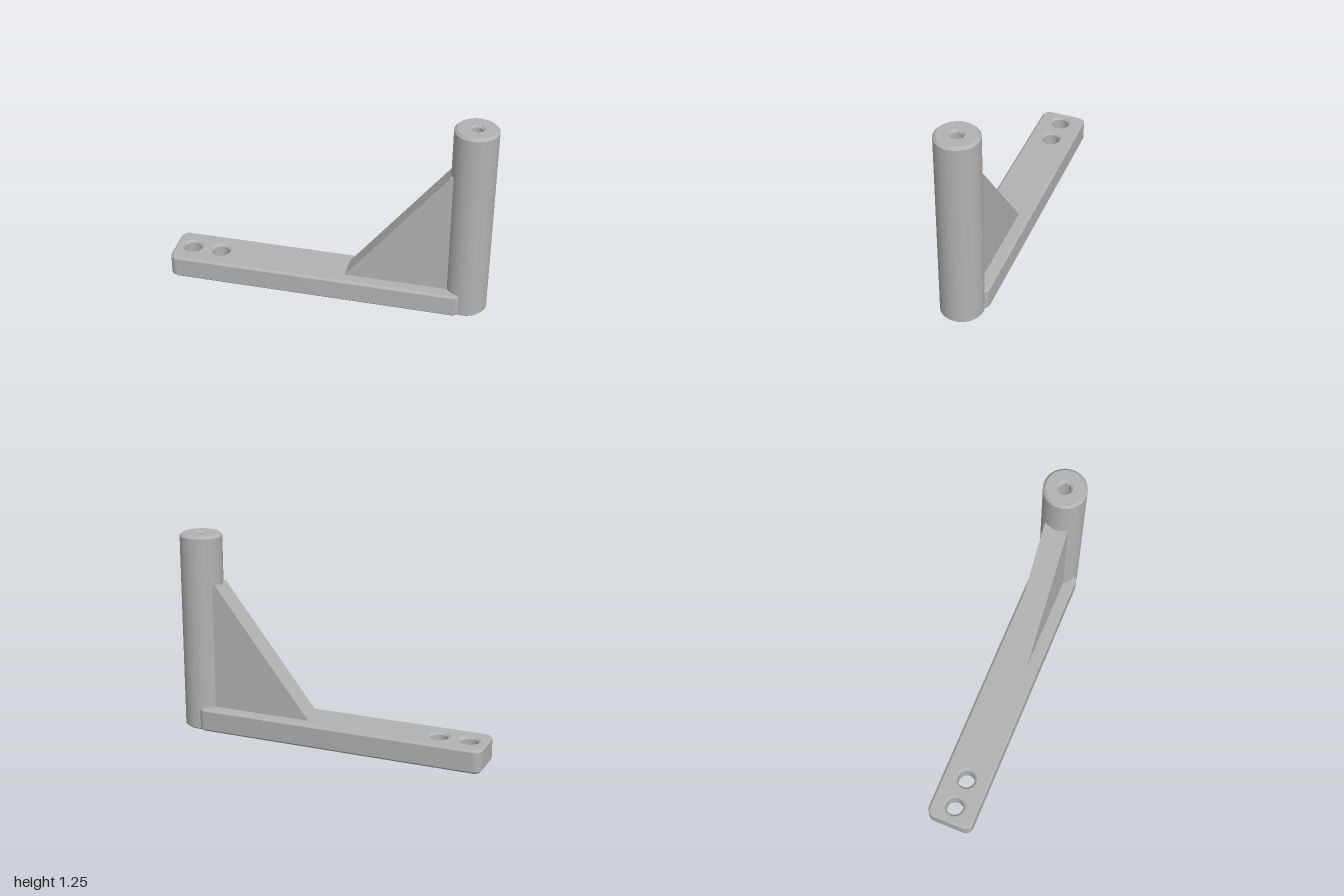
import * as THREE from 'three';
import { toCreasedNormals } from 'three/addons/utils/BufferGeometryUtils.js';

const metal = new THREE.MeshStandardMaterial({ color: 0xb2b2b2 });
metal.name = 'grey metal';

const POST_X = 0.866, POST_R = 0.131, POST_H = 1.25;
const BAR_H = 0.148, CHAMFER = 0.013;

function addPart(group, name, geometry) {
  const mesh = new THREE.Mesh(toCreasedNormals(geometry, 0.6), metal);
  mesh.name = name;
  group.add(mesh);
}

// Rounded rectangle outline
function roundedRect(x0, x1, h, r) {
  const s = new THREE.Shape();
  s.absarc(x1 - r, -h + r, r, -Math.PI / 2, 0);
  s.absarc(x1 - r, h - r, r, 0, Math.PI / 2);
  s.absarc(x0 + r, h - r, r, Math.PI / 2, Math.PI);
  s.absarc(x0 + r, -h + r, r, Math.PI, Math.PI * 1.5);
  s.closePath();
  return s;
}

export function createModel() {
  const group = new THREE.Group();
  group.name = 'bracket';

  // Base bar with two chamfered through holes
  const outline = roundedRect(-1, 0.85, 0.148, 0.05);
  for (const x of [-0.889, -0.702]) {
    const hole = new THREE.Path();
    hole.absarc(x, 0, 0.054, 0, Math.PI * 2, true);
    outline.holes.push(hole);
  }
  const bar = new THREE.ExtrudeGeometry(outline, {
    depth: BAR_H - 2 * CHAMFER, curveSegments: 16, bevelSegments: 1,
    bevelSize: CHAMFER, bevelThickness: CHAMFER, bevelOffset: 0,
  });
  // Pull the bevelled outline back so its widest section matches the bar
  bar.dispose();
  const barGeometry = new THREE.ExtrudeGeometry(outline, {
    depth: BAR_H - 2 * CHAMFER, curveSegments: 16, bevelSegments: 1,
    bevelSize: CHAMFER, bevelThickness: CHAMFER, bevelOffset: -CHAMFER,
  });
  barGeometry.translate(0, 0, CHAMFER).rotateX(-Math.PI / 2);
  addPart(group, 'baseBar', barGeometry);

  // Round post with chamfered ends and a countersunk blind bore
  const profile = [
    [0, 0], [POST_R - 0.01, 0], [POST_R, 0.01],
    [POST_R, POST_H - 0.015], [POST_R - 0.015, POST_H],
    [0.046, POST_H], [0.033, POST_H - 0.013], [0.033, POST_H - 0.25], [0, POST_H - 0.25],
  ].map(([x, y]) => new THREE.Vector2(x, y));
  const post = new THREE.LatheGeometry(profile, 64);
  post.translate(POST_X, 0, 0);
  addPart(group, 'post', post);

  // Triangular gusset running into the bar and post
  const side = new THREE.Shape([
    [0.12, BAR_H], [0.12, 0.1], [0.8, 0.1], [0.8, 0.94], [0.74, 0.94],
  ].map(([x, y]) => new THREE.Vector2(x, y)));
  const gusset = new THREE.ExtrudeGeometry(side, { depth: 0.148, bevelEnabled: false });
  gusset.translate(0, 0, -0.074);
  addPart(group, 'gusset', gusset);

  return group;
}
